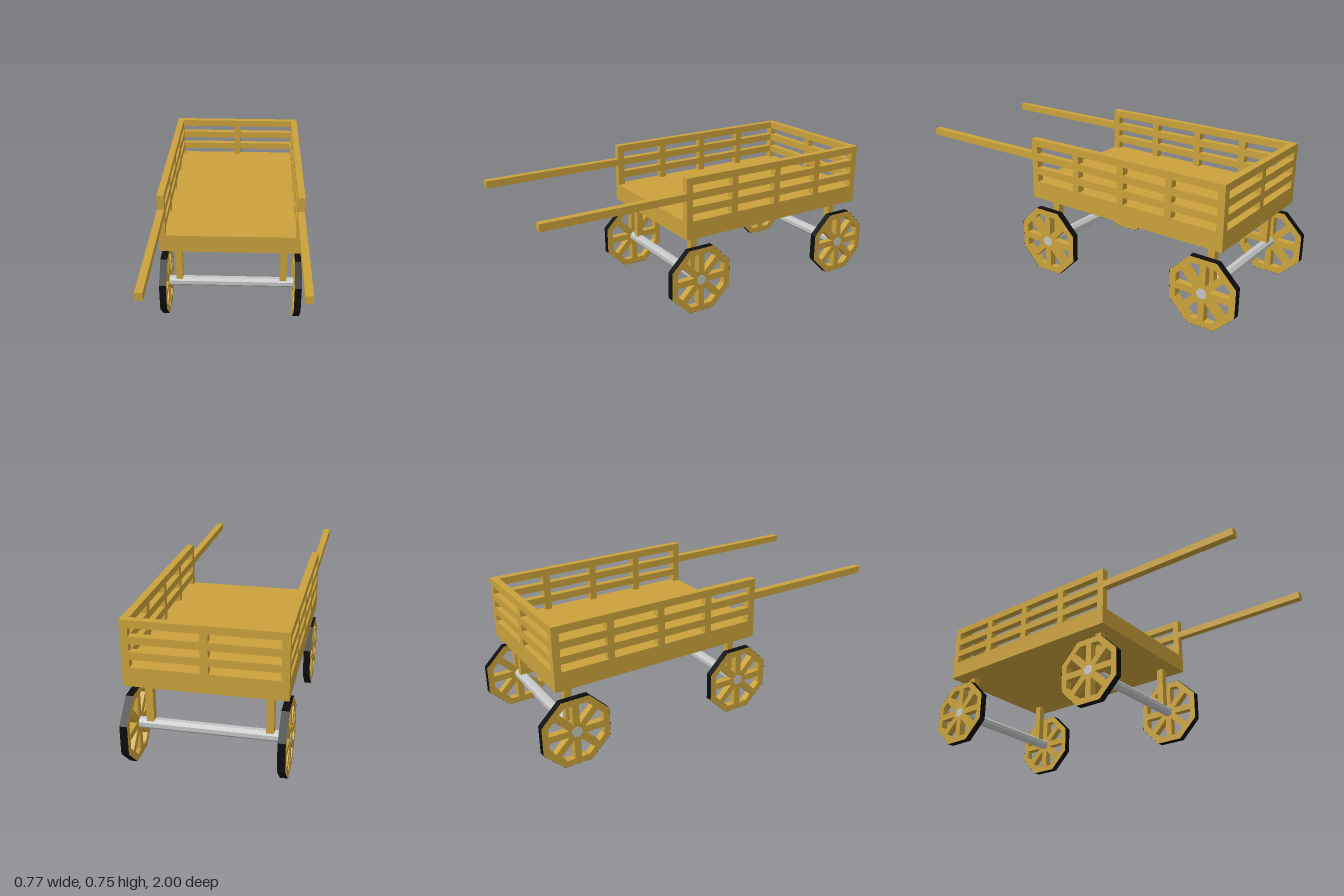
import * as THREE from 'three';

const mat = (name, color) => {
  const m = new THREE.MeshStandardMaterial({ color });
  m.name = name;
  return m;
};

export function createModel() {
  const wood = mat('wood', 0xcaa23b);
  const metal = mat('metal', 0xc4c6c6);
  const tyre = mat('tyre', 0x0d0d0d);
  tyre.side = THREE.DoubleSide;

  const cart = new THREE.Group();
  cart.name = 'cart';

  // Box given by its lower and upper limits on each axis
  const box = (name, [x0, x1], [y0, y1], [z0, z1], parent = cart) => {
    const mesh = new THREE.Mesh(new THREE.BoxGeometry(x1 - x0, y1 - y0, z1 - z0), wood);
    mesh.position.set((x0 + x1) / 2, (y0 + y1) / 2, (z0 + z1) / 2);
    mesh.name = name;
    parent.add(mesh);
  };

  const W = 0.382, IN = 0.345, FRONT = 0.231, BACK = -0.917, T = 0.037;
  const FLOOR = 0.514, TOP = 0.745;
  const rails = [[0.553, 0.591], [0.629, 0.667], [0.707, TOP]];

  box('bed', [-W, W], [0.418, FLOOR], [BACK, FRONT]);

  // Side walls with posts, rails and pulling shafts
  for (const s of [-1, 1]) {
    const wall = new THREE.Group();
    wall.name = s > 0 ? 'leftWall' : 'rightWall';
    cart.add(wall);
    const xs = s > 0 ? [IN, W] : [-W, -IN];
    const step = (FRONT - BACK - T) / 4;
    const post = (i) => BACK + i * step;
    for (let i = 0; i < 5; i++) {
      box('sidePost', xs, [FLOOR, TOP], [post(i), post(i) + T], wall);
      if (i < 4) for (const r of rails) box('sideRail', xs, r, [post(i) + T, post(i + 1)], wall);
    }
    box('shaft', xs, rails[1], [FRONT, 1], wall);
  }

  // Back wall between the corner posts
  box('backPost', [-0.019, 0.019], [FLOOR, TOP], [BACK, BACK + T]);
  for (const r of rails) {
    box('backRail', [-IN, -0.019], r, [BACK, BACK + T]);
    box('backRail', [0.019, IN], r, [BACK, BACK + T]);
  }

  // Octagonal wheel face with eight openings that leave spokes between them
  const AP = 0.178, C = Math.cos(Math.PI / 8), R = AP / C;
  const polar = (r, a) => new THREE.Vector2(r * Math.cos(a), r * Math.sin(a));
  const outline = [];
  for (let i = 0; i < 8; i++) outline.push(polar(R - 0.0006, (i + 0.5) * Math.PI / 4));
  const shape = new THREE.Shape(outline);
  const half = 0.0175, rim = 0.145, origin = new THREE.Vector2();
  for (let i = 0; i < 8; i++) {
    const a = i * Math.PI / 4, b = a + Math.PI / 4, m = (a + b) / 2;
    shape.holes.push(new THREE.Path([
      polar(half / Math.sin(Math.PI / 8), m),
      new THREE.Vector2(rim, half).rotateAround(origin, a),
      polar(rim / C, m),
      new THREE.Vector2(rim, -half).rotateAround(origin, b),
    ]));
  }
  const spokeGeo = new THREE.ExtrudeGeometry(shape, { depth: T, bevelEnabled: false });
  spokeGeo.translate(0, 0, -T / 2).rotateY(Math.PI / 2);

  // Flat-sided cylinder lying along x with a flat on top
  const octagonBar = (r, length, open) =>
    new THREE.CylinderGeometry(r, r, length, 8, 1, open)
      .rotateY(Math.PI / 8).rotateZ(Math.PI / 2).toNonIndexed();
  const treadGeo = octagonBar(R, T, true);
  const axleGeo = octagonBar(0.028, 0.768, false);
  treadGeo.computeVertexNormals();
  axleGeo.computeVertexNormals();

  // Front and back axles with struts and wheels
  for (const z of [0.14, -0.822]) {
    const set = new THREE.Group();
    set.name = z > 0 ? 'frontAxleSet' : 'backAxleSet';
    cart.add(set);
    const axle = new THREE.Mesh(axleGeo, metal);
    axle.name = 'axle';
    axle.position.set(0, AP, z);
    set.add(axle);
    for (const s of [-1, 1]) {
      box('strut', s > 0 ? [0.269, 0.306] : [-0.306, -0.269], [0.197, 0.418],
        [z - 0.0185, z + 0.0185], set);
      const wheel = new THREE.Group();
      wheel.name = 'wheel';
      wheel.position.set(s * (W + IN) / 2, AP, z);
      const spokes = new THREE.Mesh(spokeGeo, wood);
      spokes.name = 'spokedRim';
      const tread = new THREE.Mesh(treadGeo, tyre);
      tread.name = 'tread';
      wheel.add(spokes, tread);
      set.add(wheel);
    }
  }
  return cart;
}
